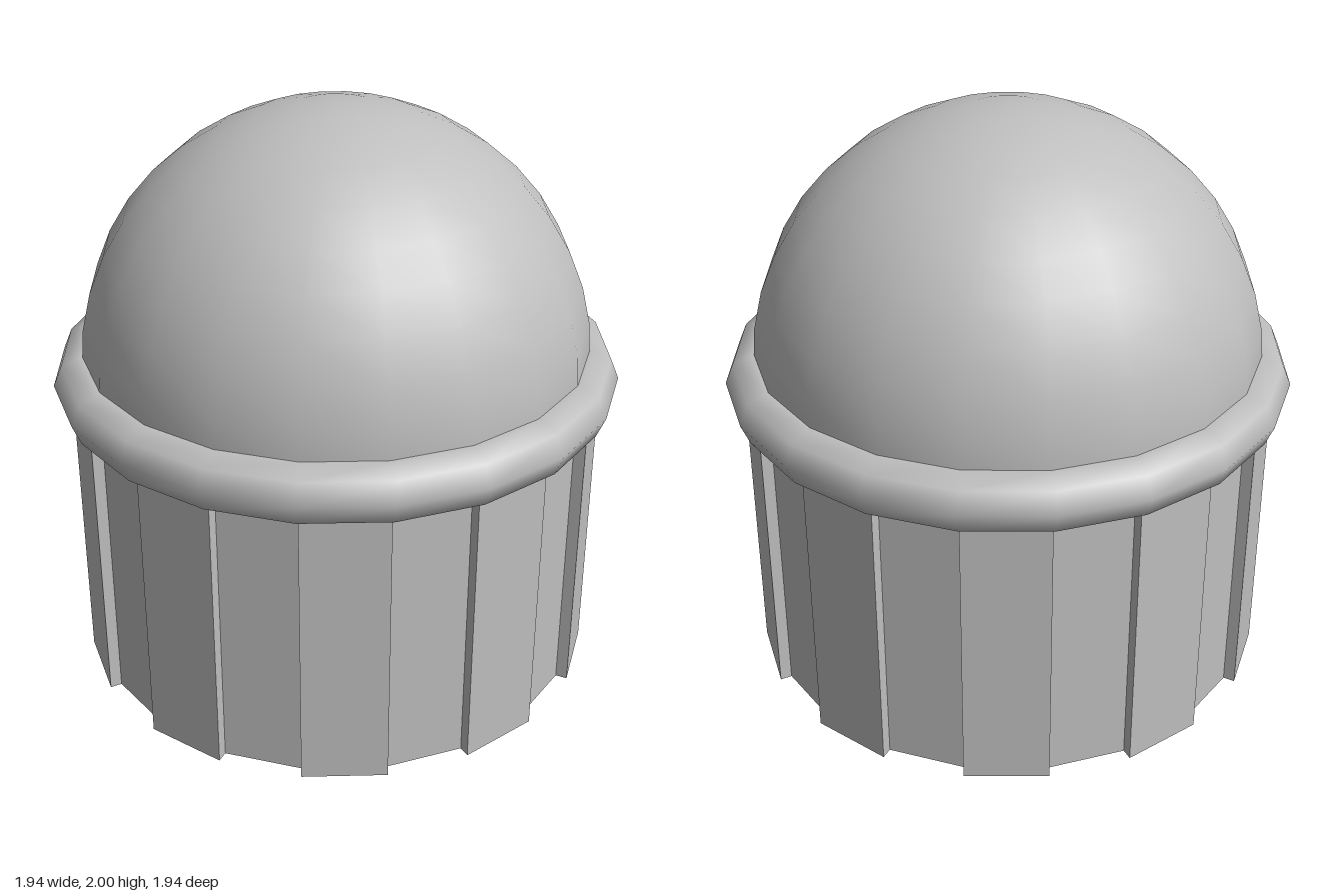
import * as THREE from 'three';

const SIDES = 20;
const INNER = 0.87;
const OUTER = 0.91;

export function createModel() {
  const model = new THREE.Group();
  const grey = new THREE.MeshStandardMaterial({ color: 0xbfbfbf });
  grey.name = 'plainGrey';

  const add = (name, geometry, y) => {
    const mesh = new THREE.Mesh(geometry, grey);
    mesh.name = name;
    mesh.position.y = y;
    model.add(mesh);
  };

  // Ribbed base: every other facet stands proud, with radial step walls
  const outline = [];
  for (let k = 0; k < SIDES; k++) {
    const r = k % 2 === 0 ? OUTER : INNER;
    for (const step of [k, k + 1]) {
      const a = (step / SIDES) * Math.PI * 2; // measured from +z towards +x
      outline.push(new THREE.Vector2(r * Math.sin(a), -r * Math.cos(a)));
    }
  }
  const base = new THREE.ExtrudeGeometry(new THREE.Shape(outline), {
    depth: 1.07, bevelEnabled: false,
  });
  base.rotateX(-Math.PI / 2);
  add('ribbedBase', base, 0);

  // Rounded collar between base and dome
  const collar = new THREE.TorusGeometry(INNER, 0.1, 8, SIDES);
  collar.rotateX(Math.PI / 2);
  add('collarRing', collar, 1.07);

  // Smooth hemispherical dome
  const dome = new THREE.SphereGeometry(INNER, SIDES, 10, 0, Math.PI * 2, 0, Math.PI / 2);
  add('dome', dome, 1.13);

  return model;
}
